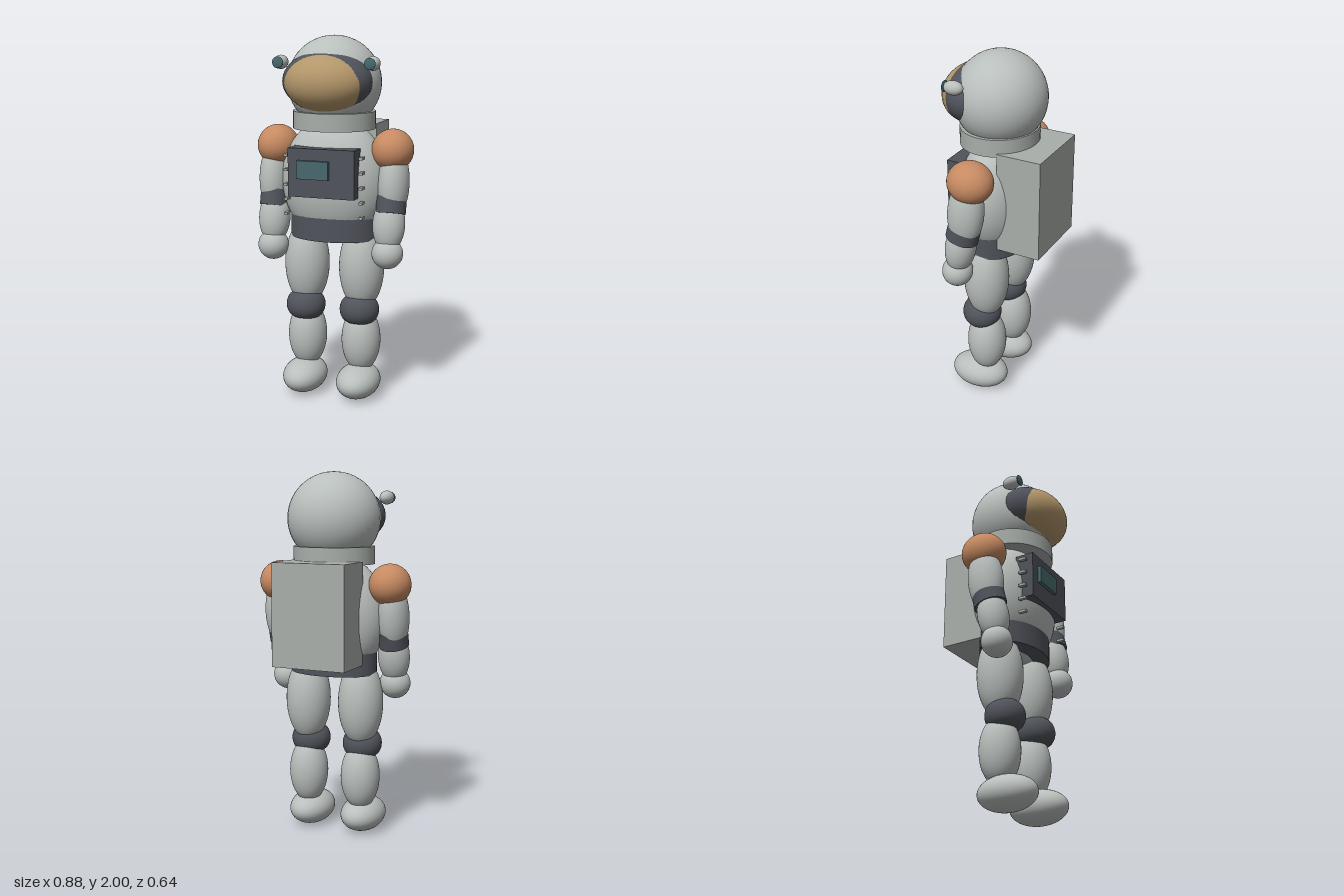
import * as THREE from 'three';

const mat = (name, color) => {
  const m = new THREE.MeshStandardMaterial({ color });
  m.name = name;
  return m;
};

export function createModel() {
  const suit = mat('suit grey', 0xb9bfbc);
  const pack = mat('equipment grey', 0xa8aea9);
  const dark = mat('dark trim', 0x50535b);
  const orange = mat('shoulder orange', 0xc68a62);
  const gold = mat('visor gold', 0xb3966a);
  const teal = mat('lamp teal', 0x47696e);
  const root = new THREE.Group();
  root.name = 'astronaut';

  const add = (name, geo, material, pos, parent = root) => {
    const mesh = new THREE.Mesh(geo, material);
    mesh.name = name;
    mesh.position.set(...pos);
    parent.add(mesh);
    return mesh;
  };
  const ball = (name, m, pos, r, parent, tilt = 0) => {
    const geo = new THREE.SphereGeometry(1, 40, 28).scale(...r).rotateX(tilt);
    return add(name, geo, m, pos, parent);
  };
  const drum = (name, m, pos, [rx, h, rz], parent, tilt = 0) => {
    const geo = new THREE.CylinderGeometry(1, 1, h, 48).scale(rx, 1, rz).rotateX(tilt);
    return add(name, geo, m, pos, parent);
  };
  const box = (name, m, [x0, x1], [y0, y1], [z0, z1], parent) =>
    add(name, new THREE.BoxGeometry(x1 - x0, y1 - y0, z1 - z0), m,
      [(x0 + x1) / 2, (y0 + y1) / 2, (z0 + z1) / 2], parent);

  // Helmet and visor
  ball('helmet', suit, [0, 1.75, 0.012], [0.255, 0.25, 0.247]);
  ball('visorFrame', dark, [0, 1.762, 0.13], [0.245, 0.163, 0.168]);
  ball('visor', gold, [0, 1.757, 0.14], [0.23, 0.16, 0.182]);
  drum('collar', pack, [0, 1.553, 0.015], [0.225, 0.095, 0.21]);

  // Torso, belt and backpack
  ball('torso', suit, [0, 1.22, 0.012], [0.3, 0.345, 0.2]);
  drum('belt', dark, [0, 0.973, 0.012], [0.248, 0.136, 0.168]);
  box('backpack', pack, [-0.21, 0.21], [0.968, 1.525], [-0.322, -0.075]);

  // Chest control panel
  box('chestPanel', dark, [-0.185, 0.185], [1.156, 1.417], [0.13, 0.235]);
  box('panelScreen', teal, [-0.13, 0.047], [1.256, 1.354], [0.23, 0.255]);

  for (const s of [1, -1]) {
    const side = new THREE.Group();
    side.name = s > 0 ? 'leftSide' : 'rightSide';
    root.add(side);

    // Helmet lamp
    ball('lampHousing', suit, [s * 0.255, 1.86, 0.143], [0.037, 0.037, 0.054], side);
    ball('lampLens', teal, [s * 0.253, 1.86, 0.195], [0.031, 0.031, 0.008], side);

    // Chest studs
    for (let i = 0; i < 5; i++) {
      const y = 1.373 - i * 0.0795;
      const x = s * 0.211;
      box('chestStud', pack, [x - 0.01, x + 0.01], [y - 0.007, y + 0.007], [0.165, 0.208], side);
    }

    // Arm
    ball('shoulder', orange, [s * 0.329, 1.4, 0.013], [0.113, 0.113, 0.125], side);
    ball('upperArm', suit, [s * 0.342, 1.225, 0.035], [0.084, 0.2, 0.1], side, -0.1);
    drum('armBand', dark, [s * 0.336, 1.108, 0.054], [0.08, 0.09, 0.09], side, -0.25);
    ball('forearm', suit, [s * 0.33, 1.005, 0.077], [0.088, 0.15, 0.083], side, -0.15);
    ball('hand', suit, [s * 0.33, 0.852, 0.1], [0.085, 0.084, 0.083], side);

    // Leg
    ball('thigh', suit, [s * 0.16, 0.745, 0.016], [0.125, 0.245, 0.125], side);
    const ring = new THREE.TorusGeometry(0.047, 0.063, 24, 48).rotateX(Math.PI / 2)
      .scale(1, 1.22, 0.98).rotateX(-0.12);
    add('kneePad', ring, dark, [s * 0.158, 0.507, 0.047], side);
    ball('shin', suit, [s * 0.159, 0.325, 0.017], [0.109, 0.19, 0.11], side);
    ball('boot', suit, [s * 0.159, 0.095, 0.063], [0.12, 0.095, 0.167], side);
  }
  return root;
}
